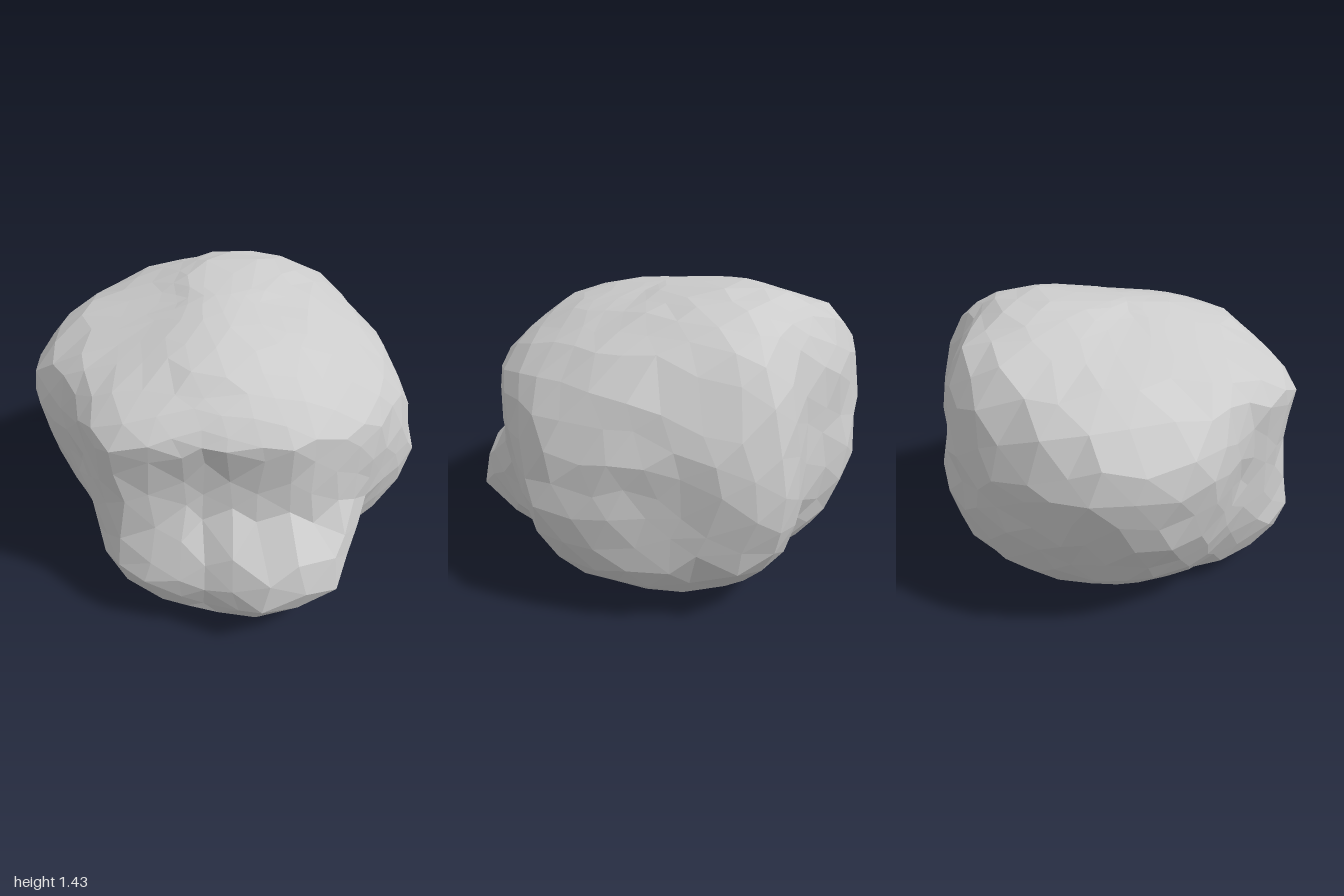
import * as THREE from 'three';

// Horizontal cross-sections: height, then the radius at each angle (degrees from +x towards +z)
const ANGLES = [0, 24, 52, 70, 90, 118, 148, 180, 198, 236, 257, 277, 300, 328];
const SECTIONS = [
  // flat underside
  { y: 0.02, r: [0.45, 0.38, 0.30, 0.28, 0.25, 0.28, 0.35, 0.40, 0.40, 0.40, 0.42, 0.42, 0.45, 0.48] },
  { y: 0.12, r: [0.73, 0.62, 0.80, 0.86, 0.80, 0.76, 0.60, 0.57, 0.60, 0.65, 0.69, 0.65, 0.77, 0.77] },
  // front ledge
  { y: 0.30, r: [0.90, 0.74, 0.99, 1.02, 0.88, 0.88, 0.70, 0.77, 0.79, 0.83, 0.86, 0.80, 0.96, 0.89] },
  { y: 0.52, r: [1.01, 0.80, 0.94, 0.95, 0.80, 0.85, 0.75, 0.90, 0.91, 0.93, 0.94, 0.84, 1.04, 0.90] },
  // hollow front face and back crevice
  { y: 0.62, r: [0.99, 0.85, 0.84, 0.78, 0.72, 0.83, 0.76, 0.95, 0.96, 0.95, 0.95, 0.84, 1.05, 0.90] },
  { y: 0.85, r: [0.95, 0.88, 0.82, 0.75, 0.69, 0.84, 0.78, 1.00, 1.03, 0.96, 0.92, 0.83, 1.03, 0.92] },
  { y: 1.05, r: [0.84, 0.84, 0.82, 0.78, 0.75, 0.87, 0.78, 0.96, 0.99, 0.94, 0.90, 0.82, 0.97, 0.87] },
  // shoulders and crown
  { y: 1.20, r: [0.69, 0.70, 0.72, 0.71, 0.71, 0.76, 0.69, 0.74, 0.77, 0.84, 0.80, 0.75, 0.84, 0.71] },
  { y: 1.33, r: [0.38, 0.42, 0.50, 0.54, 0.56, 0.46, 0.34, 0.27, 0.30, 0.50, 0.60, 0.63, 0.62, 0.48] },
  { y: 1.39, r: [0.12, 0.15, 0.22, 0.30, 0.32, 0.22, 0.14, 0.12, 0.14, 0.30, 0.42, 0.45, 0.40, 0.22] },
];
const MID = 0.7;
const { lerp, clamp, smoothstep } = THREE.MathUtils;

// Sections with their latitude, closed by a pole at each end
const pole = (y, lat) => ({ y, lat, r: ANGLES.map(() => 0) });
const rings = [
  pole(0, -Math.PI / 2),
  ...SECTIONS.map((s) => ({ ...s, lat: Math.atan2(s.y - MID, s.r.reduce((a, b) => a + b) / s.r.length) })),
  pole(1.405, Math.PI / 2),
];

// Radius of a ring at any angle in degrees
function radiusAt(r, degrees) {
  const n = ANGLES.length;
  let i = 0;
  while (i < n - 1 && degrees >= ANGLES[i + 1]) i++;
  const end = i === n - 1 ? 360 : ANGLES[i + 1];
  return lerp(r[i], r[(i + 1) % n], (degrees - ANGLES[i]) / (end - ANGLES[i]));
}

// Repeatable scatter in -0.5..0.5, equal for coincident corners
function scatter(v, seed) {
  const q = (n) => Math.round(n * 1000);
  const s = Math.sin(q(v.x) * 0.1271 + q(v.y) * 0.3117 + q(v.z) * 0.2747 + seed * 7.31) * 4375.85;
  return s - Math.floor(s) - 0.5;
}

// Maps a direction onto the rock surface
function rockPoint(dir) {
  const d = new THREE.Vector3(scatter(dir, 1), scatter(dir, 2), scatter(dir, 3));
  d.multiplyScalar(0.06).add(dir).normalize();
  const lat = Math.asin(clamp(d.y, -1, 1));
  const angle = Math.atan2(d.z, d.x);
  const degrees = (THREE.MathUtils.radToDeg(angle) + 360) % 360;

  let i = 0;
  while (i < rings.length - 2 && lat > rings[i + 1].lat) i++;
  const lo = rings[i], hi = rings[i + 1];
  const t = (lat - lo.lat) / (hi.lat - lo.lat);
  const radius = lerp(radiusAt(lo.r, degrees), radiusAt(hi.r, degrees), t) * (1 + 0.02 * scatter(dir, 4));
  const x = Math.cos(angle) * radius, z = Math.sin(angle) * radius;

  // the crown rises towards the back
  const y = lerp(lo.y, hi.y, t);
  return new THREE.Vector3(x, y - 0.1 * z * smoothstep(y, 0.95, 1.25), z);
}

export function createModel() {
  const geometry = new THREE.IcosahedronGeometry(1, 6);
  const pos = geometry.attributes.position;
  const v = new THREE.Vector3();
  for (let i = 0; i < pos.count; i++) {
    const p = rockPoint(v.fromBufferAttribute(pos, i).normalize());
    pos.setXYZ(i, p.x, p.y, p.z);
  }
  geometry.computeVertexNormals();

  const boulder = new THREE.Mesh(
    geometry,
    new THREE.MeshStandardMaterial({ color: 0xcccccc, flatShading: true }),
  );
  boulder.name = 'boulder';
  const group = new THREE.Group();
  group.name = 'rock';
  group.add(boulder);
  return group;
}
